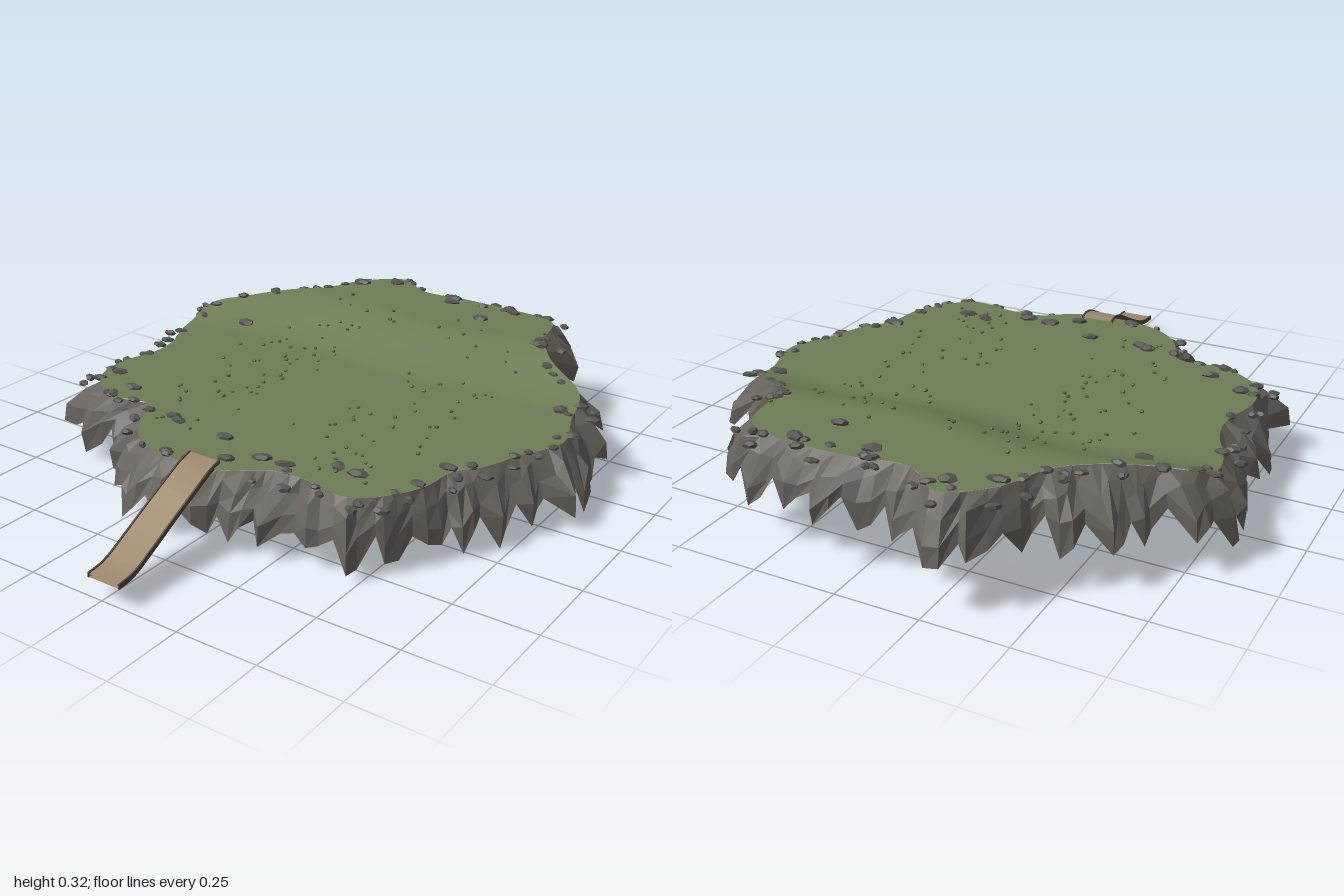
import * as THREE from 'three';
import { mergeGeometries } from 'three/addons/utils/BufferGeometryUtils.js';

// Outlines seen from above as x, z pairs
const GRASS_POINTS = [-.24, -.89, -.12, -.81, .08, -.83, .39, -.79, .44, -.63, .51, -.53, .67, -.41, .70, -.29,
  .75, -.13, .69, 0, .64, .13, .58, .21, .56, .34, .43, .50, .27, .48, .16, .49, .06, .56, -.13, .58, -.26, .54,
  -.34, .46, -.40, .34, -.55, .35, -.68, .26, -.71, .13, -.68, 0, -.69, -.10, -.75, -.24, -.76, -.40,
  -.65, -.48, -.52, -.58, -.43, -.66, -.37, -.79];
const CLIFF = [-.30, -1, -.22, -.95, -.08, -.90, 0, -.88, .07, -.94, .19, -.90, .41, -.89, .51, -.76, .52, -.60,
  .62, -.53, .72, -.52, .72, -.44, .80, -.37, .77, -.25, .84, -.20, .82, -.12, .86, -.05, .77, .03, .73, .16,
  .67, .29, .59, .37, .53, .50, .48, .58, .32, .57, .22, .62, .06, .63, -.15, .68, -.30, .65, -.35, .53,
  -.44, .49, -.50, .40, -.65, .41, -.77, .34, -.73, .21, -.81, .13, -.79, 0, -.80, -.16, -.86, -.37,
  -.79, -.51, -.68, -.53, -.66, -.63, -.56, -.73, -.44, -.74, -.42, -.85];
const CZ = -0.15;

// Rounded version of the grass outline
const grassPoints = [];
for (let i = 0; i < GRASS_POINTS.length; i += 2) {
  grassPoints.push(new THREE.Vector3(GRASS_POINTS[i], 0, GRASS_POINTS[i + 1]));
}
const GRASS = new THREE.CatmullRomCurve3(grassPoints, true).getPoints(160).slice(0, -1).flatMap(p => [p.x, p.z]);

let seed = 7;
const rand = (a = 0, b = 1) => {
  seed = (seed * 16807) % 2147483647;
  return a + (b - a) * seed / 2147483647;
};

// Ground height: flat in front, an uneven bank, then a raised terrace at the back
const height = (x, z) => 0.211 + 0.09 * THREE.MathUtils.smoothstep(-z + 0.02 * Math.sin(x * 7 + 1), 0.28, 0.6)
  + 0.003 * Math.sin(x * 9 + z * 4) * Math.cos(z * 8);

// Distance from the centre to an outline along angle a
function reach(outline, a) {
  const dx = Math.cos(a), dz = Math.sin(a), n = outline.length;
  let best = 0;
  for (let i = 0; i < n; i += 2) {
    const x = outline[i], z = outline[i + 1] - CZ;
    const ex = outline[(i + 2) % n] - x, ez = outline[(i + 3) % n] - CZ - z;
    const den = dx * ez - dz * ex;
    if (Math.abs(den) < 1e-9) continue;
    const t = (x * ez - z * ex) / den, s = (x * dz - z * dx) / den;
    if (s >= -1e-6 && s <= 1 + 1e-6) best = Math.max(best, t);
  }
  return best;
}

// Surface through rows of points; each row has the same length
function loft(rows) {
  const cols = rows[0].length, index = [];
  for (let j = 0; j < rows.length - 1; j++) {
    for (let i = 0; i < cols - 1; i++) {
      const a = j * cols + i, b = a + cols;
      index.push(a, b, a + 1, a + 1, b, b + 1);
    }
  }
  const g = new THREE.BufferGeometry();
  g.setAttribute('position', new THREE.Float32BufferAttribute(rows.flat(2), 3));
  g.setIndex(index);
  g.computeVertexNormals();
  return g;
}

// Grass sheet: rings growing from the centre to the outline
function grassGeometry() {
  const rows = [], rings = 32, segs = 200;
  for (let j = 0; j <= rings; j++) {
    const row = [];
    for (let i = 0; i <= segs; i++) {
      const a = -i / segs * Math.PI * 2, r = Math.max(j / rings, 0.001) * reach(GRASS, a);
      const x = Math.cos(a) * r, z = CZ + Math.sin(a) * r;
      row.push([x, height(x, z), z]);
    }
    rows.push(row);
  }
  return loft(rows);
}

// Jagged skirt of rock: deep folds that end in pointed tips, some curling under
function cliffGeometry() {
  const rows = [[], [], [], []], segs = 132;
  for (let i = 0; i < segs; i++) {
    const a = -(i + rand(-0.3, 0.3)) / segs * Math.PI * 2;
    const rim = reach(GRASS, a), inner = rim - 0.006, outer = Math.max(reach(CLIFF, a), rim + 0.035);
    const kind = i % 3; // 0 tip, 1 flank, 2 valley
    const back = CZ + Math.sin(a) * outer < -0.75 ? 0.88 : 1;
    const drop = back * [rand(0.14, 0.208), rand(0.12, 0.18), rand(0.09, 0.13)][kind];
    const outs = [0, [0.5, 0.35, 0.2][kind] + rand(-0.1, 0.1), [0.9, 0.7, 0.5][kind] + rand(-0.1, 0.1),
      [1, 0.9, 0.75][kind] - rand(0, 0.15)];
    const falls = [0, rand(0.15, 0.35), rand(0.5, 0.72), 1];
    const top = height(Math.cos(a) * rim, CZ + Math.sin(a) * rim) - 0.004;
    outs.forEach((out, j) => {
      const r = inner + (outer * 1.008 - inner) * out;
      rows[j].push([Math.cos(a) * r, Math.max(0, top - drop * falls[j]), CZ + Math.sin(a) * r]);
    });
  }
  rows.forEach(r => r.push(r[0]));
  return loft(rows);
}

// Small faceted stone
function stone(x, y, z, w, h, d) {
  const g = new THREE.DodecahedronGeometry(1, 0);
  g.rotateY(rand(0, 6));
  g.scale(w, h, d);
  g.rotateX(rand(-0.25, 0.25));
  g.rotateY(rand(-0.6, 0.6));
  g.translate(x, y, z);
  return g;
}

function rimStones() {
  const big = [[-.57, -.36], [-.35, -.77], [.18, -.68], [.45, -.58], [.02, -.77], [-.53, .27], [-.55, .34],
    [-.28, .37], [-.25, .385], [.31, .37], [.38, .38], [.18, .44], [.02, .50], [.65, -.32], [.56, .20],
    [.10, .44], [-.07, .39], [-.65, .20], [.24, -.80], [-.24, -.83]];
  const parts = big.map(([x, z]) => stone(x, height(x, z) + 0.004, z, rand(.024, .034), .011, rand(.016, .021)));
  for (let i = 0; i < 96; i++) {
    const a = (Math.floor(i / 4) + rand(-0.38, 0.38)) / 24 * Math.PI * 2;
    const edge = reach(GRASS, a), r = edge + rand(-0.035, 0.06);
    const x = Math.cos(a) * r, z = CZ + Math.sin(a) * r;
    if (Math.abs(x) < 0.08 && z > 0.4) continue;
    const y = height(x, z) - Math.max(0, r - edge) * 0.4;
    parts.push(stone(x, y, z, rand(.014, .026), rand(.007, .012), rand(.01, .018)));
  }
  return mergeGeometries(parts);
}

// Tiny tufts strewn mostly in two bands beside the middle
function tufts() {
  const parts = [];
  for (let i = 0; i < 120; i++) {
    const x = i % 5 === 0 ? rand(-.5, .5) : i % 2 ? rand(-.42, -.16) : rand(.12, .45);
    const z = rand(-.66, .42), s = rand(.005, .008);
    parts.push(stone(x, height(x, z) + s * 0.6, z, s, s * 0.7, s));
  }
  return mergeGeometries(parts);
}

// Sloping path, swept from its centre line: x, y, z
const pathCurve = new THREE.CatmullRomCurve3([[-.032, .214, .53], [-.02, .209, .59], [-.01, .188, .66],
  [-.008, .145, .75], [-.002, .10, .85], [.008, .07, .94], [.011, .064, 1]].map(p => new THREE.Vector3(...p)));

function strip(x0, x1, y0, y1) {
  const corners = [[x0, y1], [x0, y0], [x1, y0], [x1, y1], [x0, y1]];
  const rows = pathCurve.getPoints(24).map(p => corners.map(([x, y]) => [p.x + x, p.y + y, p.z]));
  return loft(rows).toNonIndexed();
}

export function createModel() {
  const material = (name, color, extra) => Object.assign(new THREE.MeshStandardMaterial({ color, ...extra }), { name });
  const both = { side: THREE.DoubleSide }, flat = { side: THREE.DoubleSide, flatShading: true };
  const grass = material('grass green', 0x6d7d54, both);
  const rock = material('cliff grey', 0x67625d, flat);
  const stoneGrey = material('stone grey', 0x575552, flat);
  const tuft = material('tuft green', 0x56683f, flat);
  const earth = material('path tan', 0xa08b6d, flat);
  const edge = material('path edge brown', 0x54483e, flat);

  const group = new THREE.Group();
  group.name = 'rockyPlateau';
  const add = (name, geometry, mat) => {
    const mesh = new THREE.Mesh(geometry, mat);
    mesh.name = name;
    group.add(mesh);
  };
  add('grassTop', grassGeometry(), grass);
  add('cliffSkirt', cliffGeometry(), rock);
  add('rimStones', rimStones(), stoneGrey);
  add('grassTufts', tufts(), tuft);
  add('path', strip(-.05, .05, -.006, .003), earth);
  add('pathEdges', mergeGeometries([strip(-.055, -.05, -.008, .007), strip(.05, .055, -.008, .007)]), edge);
  return group;
}
